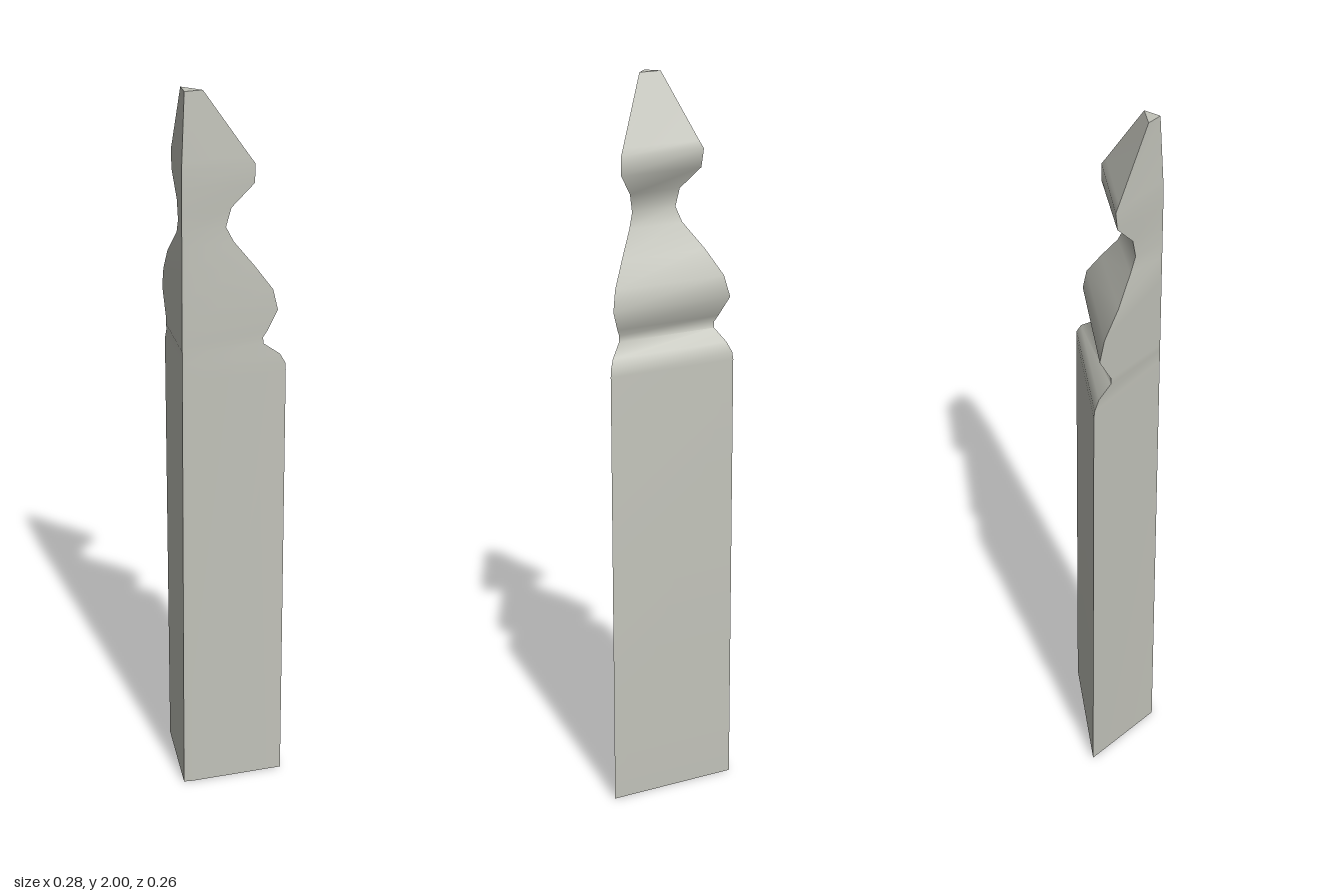
import * as THREE from 'three';
import { toCreasedNormals } from 'three/addons/utils/BufferGeometryUtils.js';

// Carved profile: height, x of the left corner, z of the back corner
const PROFILE = [
  [0, 0.14, -0.13], [1.24, 0.14, -0.13], [1.26, 0.139, -0.127], [1.287, 0.124, -0.11],
  [1.32, 0.08, -0.072], [1.337, 0.078, -0.072], [1.355, 0.09, -0.084],
  [1.41, 0.117, -0.117], [1.467, 0.104, -0.099], [1.535, 0.055, -0.045],
  [1.605, 0.0, 0.015], [1.645, -0.02, 0.034], [1.695, -0.006, 0.022],
  [1.755, 0.054, -0.038], [1.805, 0.055, -0.045], [1.825, 0.041, -0.032],
  [2, -0.078, 0.075],
];

// Slight lean of the uncut sides: value at the foot, below the tip and at the tip
function lean(y, foot, shoulder, tip) {
  return y < 1.8
    ? THREE.MathUtils.lerp(foot, shoulder, y / 1.8)
    : THREE.MathUtils.lerp(shoulder, tip, (y - 1.8) / 0.2);
}

// Triangular section with a softened outer corner
function section([y, bx, cz]) {
  const backX = y < 1.3 ? -0.129 : y < 1.6 ? -0.137 : -0.125;
  return [
    [lean(y, -0.143, -0.135, -0.125), y, lean(y, 0.125, 0.127, 0.12)],
    [lean(y, -0.118, -0.13, -0.122), y, lean(y, 0.127, 0.129, 0.12)],
    [bx, y, 0.116],
    [backX, y, cz],
  ];
}

function postGeometry() {
  const rings = PROFILE.map(section);
  const n = rings[0].length;
  const index = [];
  // Sides
  for (let r = 0; r < rings.length - 1; r++) {
    for (let i = 0; i < n; i++) {
      const a = r * n + i, b = r * n + (i + 1) % n;
      index.push(a, b, b + n, a, b + n, a + n);
    }
  }
  // Foot and tip caps
  const t = (rings.length - 1) * n;
  for (let i = 1; i < n - 1; i++) index.push(0, i + 1, i, t, t + i, t + i + 1);

  const geometry = new THREE.BufferGeometry();
  geometry.setAttribute('position', new THREE.Float32BufferAttribute(rings.flat(2), 3));
  geometry.setIndex(index);
  return toCreasedNormals(geometry, 0.75);
}

export function createModel() {
  const stone = new THREE.MeshStandardMaterial({ color: 0xc2c3ba });
  stone.name = 'pale stone';
  const post = new THREE.Mesh(postGeometry(), stone);
  post.name = 'carvedPost';
  const model = new THREE.Group();
  model.name = 'cornerPost';
  model.add(post);
  return model;
}
